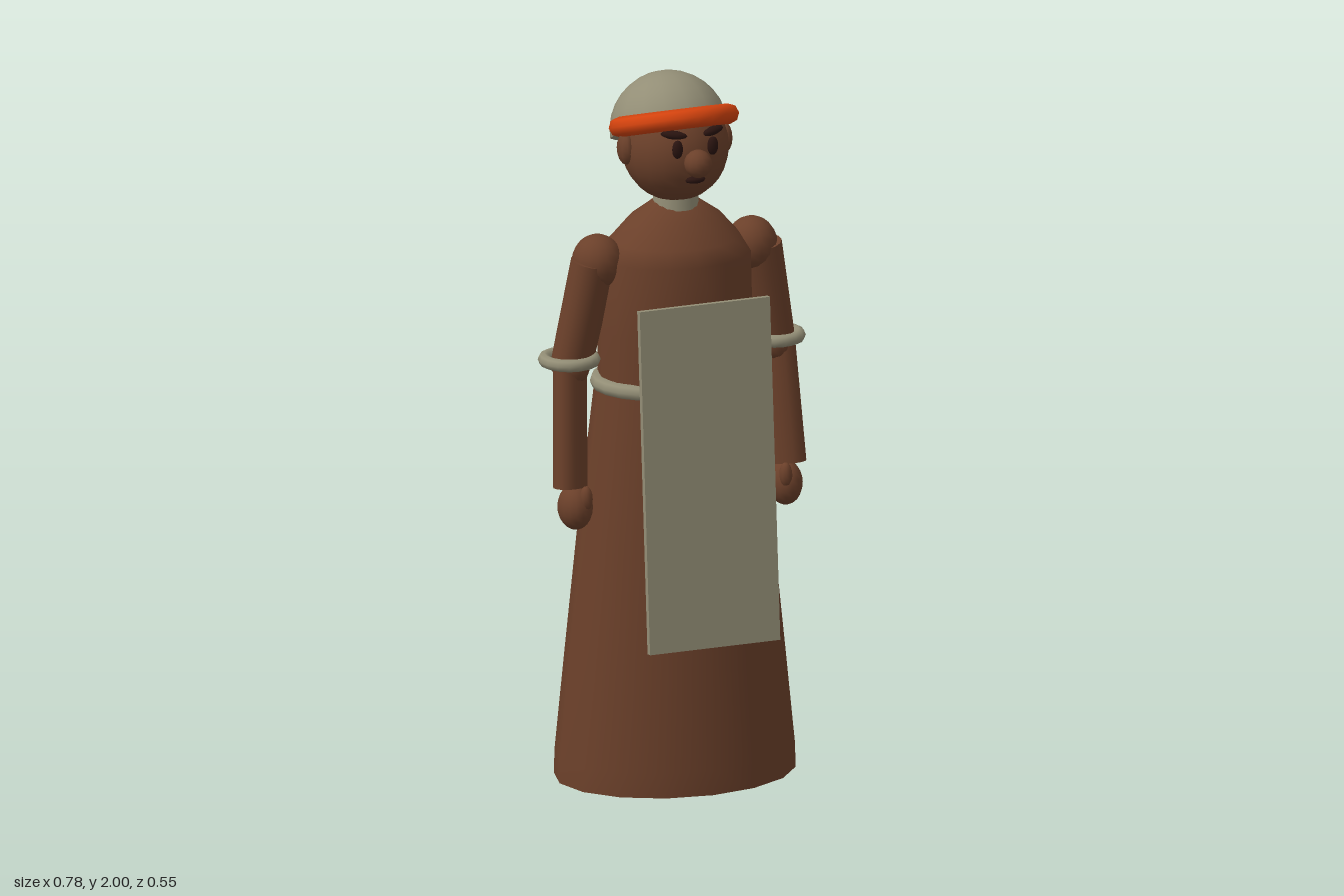
import * as THREE from 'three';

const mat = (name, color) => {
  const m = new THREE.MeshStandardMaterial({ color });
  m.name = name;
  return m;
};

export function createModel() {
  const group = new THREE.Group();
  const brown = mat('brown', 0x6b402a);
  const khaki = mat('khaki', 0x938e76);
  const orange = mat('orange', 0xd4430e);
  const dark = mat('dark', 0x2a1410);

  const add = (name, geo, material, pos = [0, 0, 0], parent = group) => {
    const m = new THREE.Mesh(geo, material);
    m.name = name;
    m.position.set(...pos);
    parent.add(m);
    return m;
  };
  const ball = (name, material, pos, size, w = 16, h = 12) =>
    add(name, new THREE.SphereGeometry(1, w, h).scale(...size), material, pos);
  // Lathe with a squashed section; profile rows are [radius, y]
  const lathe = (name, rows, depth, z) => {
    const g = new THREE.LatheGeometry(rows.map(p => new THREE.Vector2(...p)), 16);
    return add(name, g.scale(1, 1, depth), brown, [0, 0, z]);
  };
  // Tapered limb between two points, flattened across x
  const limb = (name, from, to, rFrom, rTo, flat) => {
    const a = new THREE.Vector3(...from), b = new THREE.Vector3(...to);
    const d = b.clone().sub(a);
    const m = add(name, new THREE.CylinderGeometry(rTo, rFrom, d.length(), 16), brown);
    m.scale.x = flat;
    m.position.copy(a).add(b).multiplyScalar(0.5);
    m.quaternion.setFromUnitVectors(new THREE.Vector3(0, 1, 0), d.normalize());
    return m;
  };

  // Skirt of the robe with a closed base
  lathe('skirt', [[0.34, 0.03], [0.338, 0.1], [0.31, 0.38], [0.275, 0.72], [0.245, 0.98], [0.225, 1.15]], 0.787, -0.007);
  const base = add('skirtBase', new THREE.CircleGeometry(0.34, 16), brown, [0, 0.031, -0.007]);
  base.rotation.x = Math.PI / 2;
  base.scale.y = 0.787;

  // Upper body
  lathe('torso', [[0.215, 1.13], [0.218, 1.3], [0.213, 1.5], [0.185, 1.545], [0.13, 1.605], [0.065, 1.65], [0, 1.66]], 0.815, -0.007);

  // Belt
  const belt = add('belt', new THREE.TorusGeometry(0.217, 0.022, 8, 24).rotateX(Math.PI / 2), khaki, [0, 1.148, -0.007]);
  belt.scale.z = 0.78;

  // Neck
  add('neck', new THREE.CylinderGeometry(0.06, 0.065, 0.06, 16), khaki, [0, 1.65, 0]);

  // Arms, hands and feet on both sides
  for (const s of [1, -1]) {
    const side = s > 0 ? 'left' : 'right';
    ball(side + 'Shoulder', brown, [s * 0.228, 1.5, -0.008], [0.07, 0.075, 0.073]);
    limb(side + 'UpperArm', [s * 0.24, 1.5, -0.008], [s * 0.293, 1.22, -0.03], 0.073, 0.068, 0.82);
    ball(side + 'Elbow', brown, [s * 0.298, 1.21, -0.03], [0.052, 0.06, 0.064]);
    limb(side + 'Forearm', [s * 0.3, 1.21, -0.03], [s * 0.315, 0.875, 0.008], 0.064, 0.066, 0.67);
    add(side + 'ArmBand', new THREE.TorusGeometry(0.068, 0.018, 8, 16).rotateX(Math.PI / 2), khaki, [s * 0.303, 1.225, -0.028]);
    ball(side + 'Hand', brown, [s * 0.31, 0.822, 0.03], [0.047, 0.063, 0.058]);
    ball(side + 'Thumb', brown, [s * 0.295, 0.855, 0.072], [0.018, 0.035, 0.02], 10, 8);
    ball(side + 'Foot', dark, [s * 0.13, 0.035, 0.065], [0.06, 0.035, 0.1]);

    // Face details
    ball(side + 'Ear', brown, [s * 0.145, 1.81, -0.008], [0.022, 0.045, 0.034], 10, 8);
    ball(side + 'Eye', dark, [s * 0.052, 1.835, 0.136], [0.016, 0.026, 0.012], 10, 8);
    const brow = ball(side + 'Eyebrow', dark, [s * 0.058, 1.874, 0.124], [0.037, 0.012, 0.014], 10, 6);
    brow.rotation.set(0, s * 0.4, s * 0.1);
  }

  // Head
  ball('head', brown, [0, 1.802, -0.003], [0.147, 0.15, 0.146], 20, 16);
  ball('nose', brown, [0, 1.795, 0.157], [0.039, 0.039, 0.039], 12, 10);
  ball('mouth', dark, [0, 1.744, 0.137], [0.03, 0.01, 0.014], 10, 6);

  // Cap: half dome leaning back, closed underneath
  const cap = new THREE.Group();
  cap.name = 'cap';
  cap.position.set(0, 1.838, -0.048);
  cap.rotation.x = -0.42;
  group.add(cap);
  add('capDome', new THREE.SphereGeometry(0.162, 16, 8, 0, Math.PI * 2, 0, Math.PI / 2), khaki, [0, 0, 0], cap);
  add('capUnderside', new THREE.CircleGeometry(0.162, 16).rotateX(Math.PI / 2), khaki, [0, 0, 0], cap);

  // Headband across the brow, sloping down to the back
  const arc = Math.PI * 1.36;
  const band = new THREE.TorusGeometry(0.152, 0.028, 8, 16, arc).rotateZ(Math.PI / 2 - arc / 2).rotateX(Math.PI / 2);
  add('headband', band, orange, [0, 1.872, -0.012]).rotation.x = -0.32;

  // Hanging front panel
  add('frontPanel', new THREE.BoxGeometry(0.385, 0.957, 0.018), khaki, [0, 0.93, 0.231]).rotation.x = -0.076;

  return group;
}
